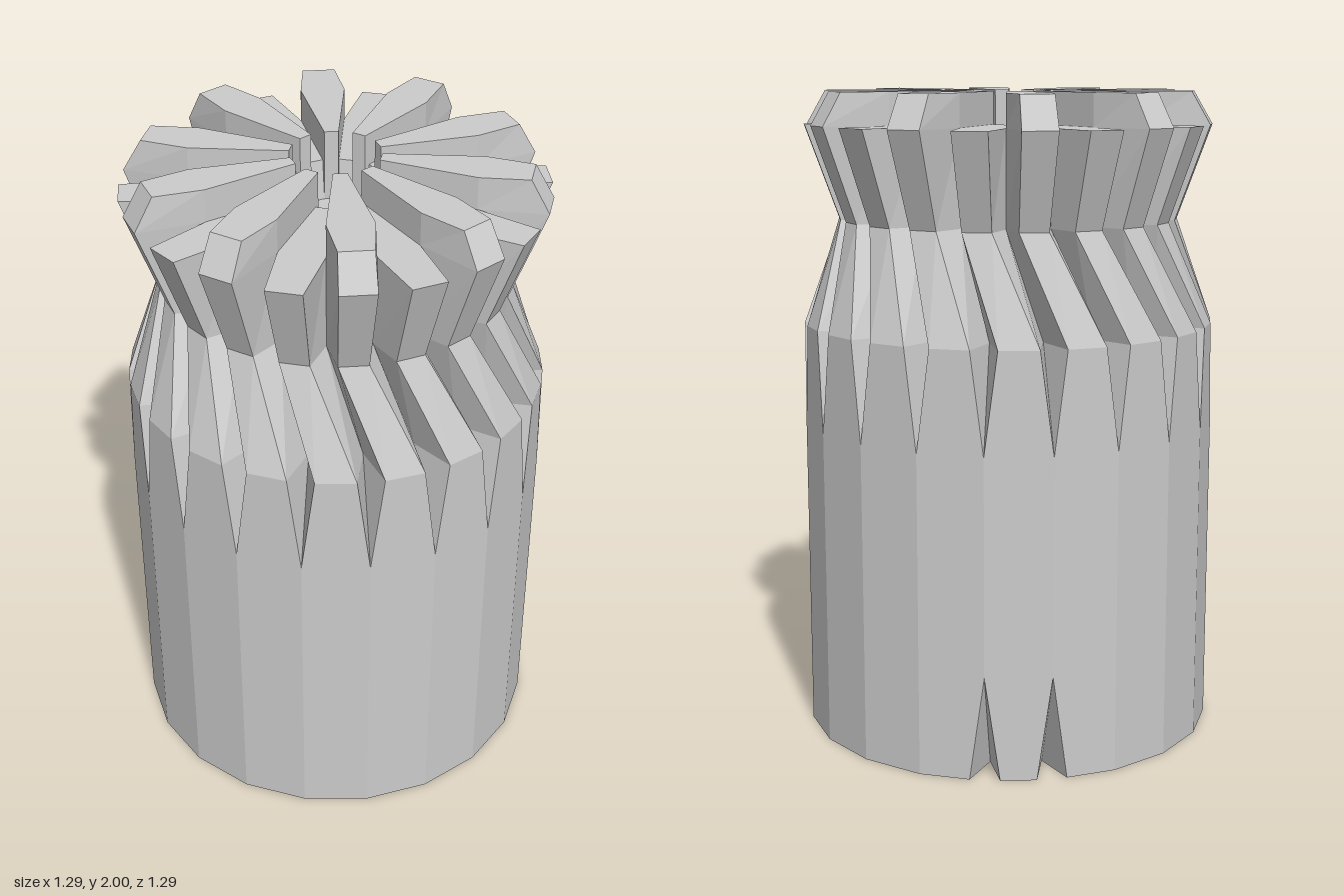
import * as THREE from 'three';

const N = 20;                    // pleats around
const STEP = 18;                 // degrees per pleat
const TWIST = -12.6;             // turn of the gathered neck
const FLOOR = 1.78;              // bottom of the centre pit

// point at an angle in degrees from the front, turning towards +x
const polar = (deg, r, y) => {
  const a = THREE.MathUtils.degToRad(deg);
  return new THREE.Vector3(Math.sin(a) * r, y, Math.cos(a) * r);
};

// collects polygons (corners counter-clockwise from outside) into a flat-shaded mesh
function facets(name, build) {
  const pos = [];
  const poly = (...p) => {
    for (let i = 1; i < p.length - 1; i++) {
      const tri = new THREE.Triangle(p[0], p[i], p[i + 1]);
      if (tri.getArea() < 1e-7) continue;
      for (const v of [tri.a, tri.b, tri.c]) pos.push(v.x, v.y, v.z);
    }
  };
  build(poly);
  const geo = new THREE.BufferGeometry();
  geo.setAttribute('position', new THREE.Float32BufferAttribute(pos, 3));
  geo.computeVertexNormals();
  const mesh = new THREE.Mesh(geo, new THREE.MeshStandardMaterial({ color: 0xcccccc, flatShading: true }));
  mesh.name = name;
  return mesh;
}

// one level: per pleat a groove point g and the ridge corners l and r
function ring(y, twist, ridge, groove, half, folded = () => true) {
  const pleats = [];
  for (let k = 0; k < N; k++) {
    const mid = STEP * k + STEP / 2 + twist;
    const inGroove = folded(k), outGroove = folded((k + 1) % N);
    const corner = (h) => ridge * Math.cos(Math.PI / N) / Math.cos(THREE.MathUtils.degToRad(h));
    const hl = inGroove ? half : STEP / 2, hr = outGroove ? half : STEP / 2;
    pleats.push({
      g: polar(mid - STEP / 2, inGroove ? groove : ridge, y),
      l: polar(mid - hl, corner(hl), y),
      r: polar(mid + hr, corner(hr), y),
    });
  }
  return pleats;
}

// skin between two levels
function band(poly, lo, hi) {
  for (let k = 0; k < N; k++) {
    const a = lo[k], b = hi[k], an = lo[(k + 1) % N], bn = hi[(k + 1) % N];
    poly(a.g, a.l, b.l, b.g);
    poly(a.l, a.r, b.r, b.l);
    poly(a.r, an.g, bn.g, b.r);
  }
}

export function createModel() {
  const none = () => false;
  const base = ring(0, 0, 0.645, 0.5, 4.9, (k) => k === 12 || k === 13); // two nicks in the foot
  const low = ring(0.32, 0, 0.645, 0.645, 9, none);
  const pleatStart = ring(0.98, 0, 0.645, 0.645, 9, none);
  const shoulder = ring(1.29, 0, 0.645, 0.5, 5.4);
  const neck = ring(1.61, TWIST, 0.532, 0.42, 4.8);
  const rim = ring(1.9, TWIST, 0.637, 0.43, 4.8);
  const crest = ring(2, TWIST, 0.578, 0.43, 5);

  const group = new THREE.Group();
  group.name = 'tiedSack';

  group.add(facets('body', (poly) => {
    band(poly, base, low);
    band(poly, low, pleatStart);
    band(poly, pleatStart, shoulder);
  }));

  group.add(facets('bottom', (poly) => {
    const edge = base.flatMap((p) => [p.g, p.l, p.r]);
    const centre = new THREE.Vector3();
    edge.forEach((p, i) => poly(centre, edge[(i + 1) % edge.length], p));
  }));

  group.add(facets('gatheredNeck', (poly) => {
    band(poly, shoulder, neck);
    band(poly, neck, rim);
  }));

  // alternating low and raised folds around the pit
  group.add(facets('topFolds', (poly) => {
    for (let k = 0; k < N; k++) {
      const n = (k + 1) % N, a0 = STEP * k + TWIST, a1 = a0 + STEP;
      const raised = k % 2 === 1;
      const t = raised ? crest : rim, b = rim;
      const inner = raised ? 0.135 : 0.155, y = raised ? 2 : 1.9;
      const i0 = polar(a0, inner, y), i1 = polar(a1, inner, y);
      const f0 = polar(a0, 0.135, FLOOR), f1 = polar(a1, 0.135, FLOOR);
      poly(i0, t[k].g, t[k].l, t[k].r, t[n].g, i1);      // top face
      poly(f1, f0, i0, i1);                              // pit wall
      if (!raised) continue;
      poly(b[k].l, b[k].r, t[k].r, t[k].l);              // bevel
      poly(b[k].g, b[k].l, t[k].l, t[k].g);              // outer flanks
      poly(b[k].r, b[n].g, t[n].g, t[k].r);
      poly(polar(a0, 0.155, 1.9), b[k].g, t[k].g, i0, f0); // radial flanks
      poly(polar(a1, 0.155, 1.9), f1, i1, t[n].g, b[n].g);
    }
  }));

  group.add(facets('pitFloor', (poly) => {
    const pts = [];
    for (let k = 0; k < N; k++) pts.push(polar(STEP * k + TWIST, 0.135, FLOOR));
    poly(...pts);
  }));

  return group;
}
